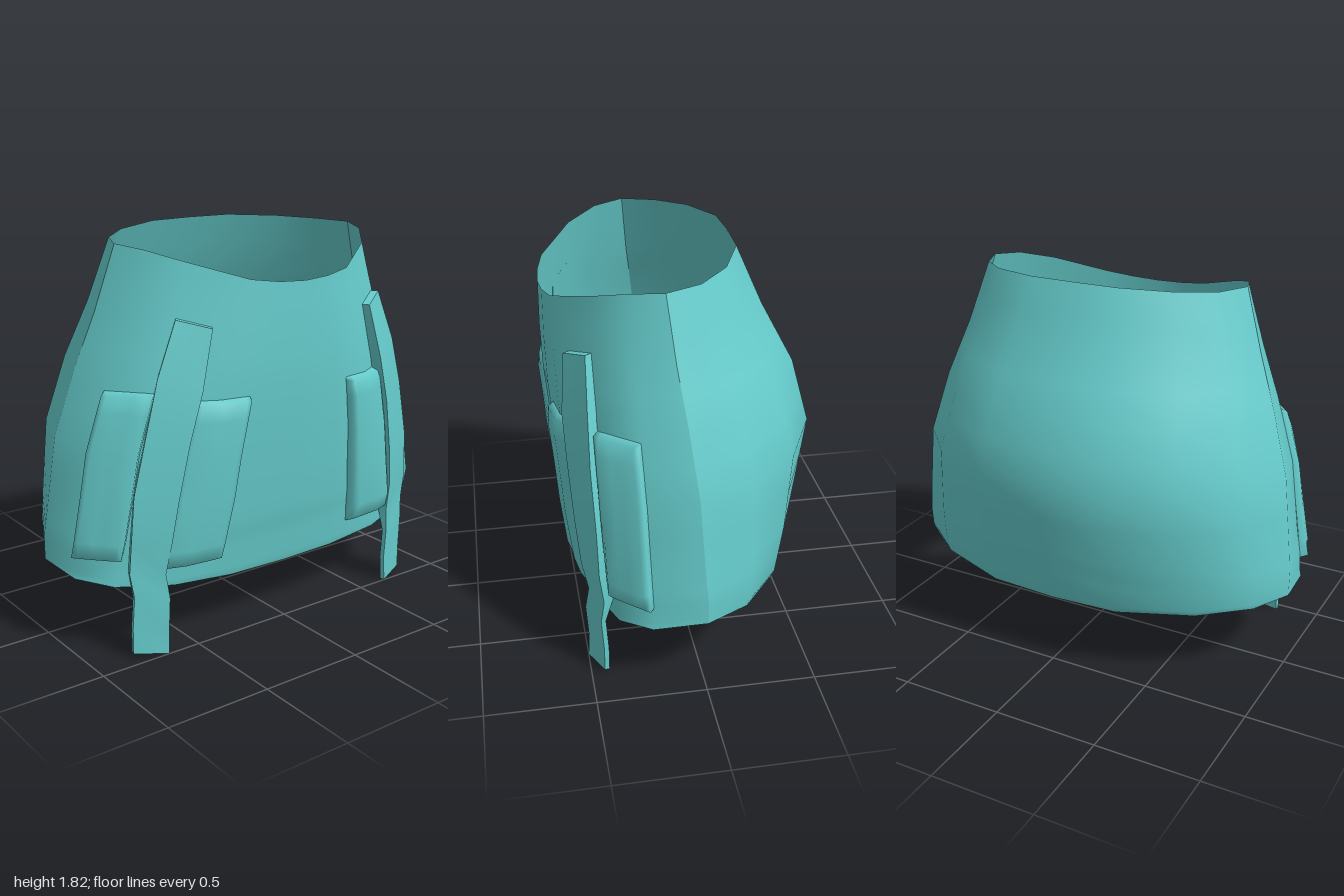
import * as THREE from 'three';

const fabric = new THREE.MeshStandardMaterial({ color: 0x66cccc, side: THREE.DoubleSide });
fabric.name = 'turquoise fabric';

const lerp = THREE.MathUtils.lerp;

// Levels from waist to hem: side x, side z, side y, front z, front y, back z, back y
const LEVELS = [
  [0.67, 0.13, 1.79, 0.61, 1.63, -0.27, 1.82],
  [0.76, 0.10, 1.50, 0.612, 1.42, -0.39, 1.55],
  [0.85, 0.065, 1.25, 0.605, 1.2, -0.54, 1.27],
  [0.94, 0.03, 0.95, 0.58, 0.92, -0.62, 0.97],
  [0.985, 0.01, 0.60, 0.54, 0.58, -0.565, 0.62],
  [1.0, 0, 0.48, 0.505, 0.42, -0.53, 0.48],
  [1.0, 0, 0.37, 0.48, 0.29, -0.49, 0.32],
];
// Half outlines from the centre line to the side seam, as fractions of width and depth
const FRONT_TOP = [[0, 1], [0.2, 0.98], [0.4, 0.92], [0.75, 0.6], [0.92, 0.3], [1, 0]];
const FRONT_HEM = [[0, 1], [0.3, 1], [0.6, 0.95], [0.86, 0.78], [0.98, 0.5], [1, 0]];
const BACK = [[0, 1], [0.33, 0.98], [0.68, 0.74], [0.9, 0.4], [1, 0]];

const hemY = (x, z) => 0.305 - 0.03 * z / 0.49 + 0.065 * x * x;

function sample(rows, t) {
  const i = Math.min(Math.floor(t), rows.length - 2);
  return rows[i].map((a, k) => lerp(a, rows[i + 1][k], t - i));
}

// Point on the right half of the body at column c and level l
function body(c, l, front) {
  const [sx, sz, sy, fz, fy, bz, by] = sample(LEVELS, l);
  const a = sample(front ? FRONT_TOP : BACK, c);
  const b = sample(front ? FRONT_HEM : BACK, c);
  const u = lerp(a[0], b[0], l / 6), w = lerp(a[1], b[1], l / 6);
  const x = sx * u, z = lerp(sz, front ? fz : bz, w);
  const y = lerp(sy, front ? fy : by, w * w);
  return new THREE.Vector3(x, lerp(y, hemY(x, z), Math.max(0, l - 5)), z);
}

// Bisection for a rising function
function solve(f, target, lo, hi) {
  for (let i = 0; i < 24; i++) {
    const m = (lo + hi) / 2;
    if (f(m) < target) lo = m; else hi = m;
  }
  return (lo + hi) / 2;
}

const frontAt = (c, y) => body(c, solve(l => -body(c, l, true).y, -y, 0, 6), true);

// Front surface point raised along its outward normal
function raised(c, y, height) {
  const p = frontAt(c, y);
  const across = frontAt(Math.min(c + 0.3, 5), y).sub(frontAt(Math.max(c - 0.3, 0), y));
  const n = new THREE.Vector3(-across.z, 0, across.x).normalize();
  return p.addScaledVector(n, height);
}

// Smooth sheet from rows of points
function sheet(rows, name) {
  const n = rows[0].length, index = [];
  for (let i = 0; i < rows.length - 1; i++) {
    for (let j = 0; j < n - 1; j++) {
      const a = i * n + j, b = a + n;
      index.push(a, b, a + 1, a + 1, b, b + 1);
    }
  }
  const g = new THREE.BufferGeometry().setFromPoints(rows.flat());
  g.setIndex(index);
  g.computeVertexNormals();
  const mesh = new THREE.Mesh(g, fabric);
  mesh.name = name;
  return mesh;
}

function panel(front, name) {
  const last = front ? 5 : 4, rows = [];
  for (let l = 0; l <= 6; l += 0.5) {
    const row = [];
    for (let c = -last; c <= last; c++) {
      const p = body(Math.abs(c), l, front);
      if (c < 0) p.x *= -1;
      row.push(p);
    }
    rows.push(row);
  }
  return sheet(rows, name);
}

// Padded pouch between two columns, bulging more toward the bottom
function pouch(side, c0, c1, top, bottom, depth, name) {
  const steps = [[0, 0], [0.02, 0.7], [0.12, 1], [0.35, 0.9], [0.6, 0.95], [0.88, 1], [0.98, 0.7], [1, 0]];
  const rows = steps.map(([v, hv]) => steps.map(([u, hu]) => {
    const h = Math.min(hu, hv) * depth * lerp(0.8, 1.15, v);
    const p = raised(lerp(c0, c1, u), lerp(top, bottom, v), h);
    p.x *= side;
    return p;
  }));
  return sheet(rows, name);
}

// Flat strap over the pouches that hangs free below the hem
function strap(side) {
  const colAt = (x, y) => solve(c => frontAt(c, y).x, x, 0, 5);
  // inner x, inner y, outer x, outer y, height over the body
  const onBody = [
    [0.43, 1.46, 0.56, 1.5, 0.035], [0.49, 1.2, 0.65, 1.26, 0.05], [0.55, 0.98, 0.71, 1.03, 0.055],
    [0.60, 0.72, 0.77, 0.76, 0.06], [0.63, 0.52, 0.79, 0.54, 0.06], [0.65, 0.38, 0.80, 0.4, 0.045],
  ].map(([xi, yi, xo, yo, h]) => {
    const ci = colAt(xi, yi), co = colAt(xo, yo);
    return [raised(ci, yi, h), raised(co, yo, h), raised(co, yo, 0), raised(ci, yi, 0)];
  });
  // inner x, y, inner z, outer x, outer z
  const hanging = [[0.655, 0.27, 0.505, 0.805, 0.45], [0.655, 0.12, 0.495, 0.81, 0.44], [0.66, 0.0, 0.5, 0.81, 0.44]]
    .map(([xi, y, zi, xo, zo]) => [
      new THREE.Vector3(xi, y, zi), new THREE.Vector3(xo, y + 0.02, zo),
      new THREE.Vector3(xo - 0.005, y + 0.02, zo - 0.022), new THREE.Vector3(xi - 0.005, y, zi - 0.022),
    ]);
  const rings = [...onBody, ...hanging];
  rings.flat().forEach(p => { p.x *= side; });
  const group = new THREE.Group();
  group.name = side > 0 ? 'leftStrap' : 'rightStrap';
  ['strapFace', 'strapOuterEdge', 'strapBack', 'strapInnerEdge'].forEach((name, k) => {
    group.add(sheet(rings.map(r => [r[k].clone(), r[(k + 1) % 4].clone()]), name));
  });
  [[rings[0], 'strapTopEnd'], [rings[rings.length - 1], 'strapBottomEnd']].forEach(([r, name]) => {
    group.add(sheet([[r[0], r[1]], [r[3], r[2]]], name));
  });
  return group;
}

// Underside with two leg openings
function underside() {
  const half = [];
  for (let c = 0; c <= 5; c++) half.push(body(c, 6, true));
  for (let c = 3; c >= 0; c--) half.push(body(c, 6, false));
  const right = half.map(p => new THREE.Vector2(p.x, p.z));
  const left = right.slice(1, -1).reverse().map(p => new THREE.Vector2(-p.x, p.y));
  const shape = new THREE.Shape([...right, ...left]);
  const hole = [
    [0.075, -0.1], [0.075, 0.12], [0.12, 0.27], [0.21, 0.42], [0.5, 0.43], [0.8, 0.355], [0.93, 0.23],
    [0.955, 0], [0.85, -0.17], [0.64, -0.33], [0.4, -0.42], [0.24, -0.4], [0.13, -0.25],
  ];
  for (const s of [1, -1]) shape.holes.push(new THREE.Path(hole.map(([x, z]) => new THREE.Vector2(s * x, z))));
  const g = new THREE.ShapeGeometry(shape);
  const pos = g.attributes.position;
  for (let i = 0; i < pos.count; i++) {
    const x = pos.getX(i), z = pos.getY(i);
    pos.setXYZ(i, x, hemY(x, z), z);
  }
  g.computeVertexNormals();
  const mesh = new THREE.Mesh(g, fabric);
  mesh.name = 'underside';
  return mesh;
}

export function createModel() {
  const model = new THREE.Group();
  model.name = 'shorts';
  model.add(panel(true, 'frontPanel'), panel(false, 'backPanel'), underside());
  for (const s of [1, -1]) {
    const label = s > 0 ? 'left' : 'right';
    model.add(
      pouch(s, 1.35, 2.4, 1.15, 0.39, 0.05, label + 'FrontPouch'),
      pouch(s, 2.95, 4.0, 1.19, 0.45, 0.05, label + 'SidePouch'),
      strap(s),
    );
  }
  return model;
}
